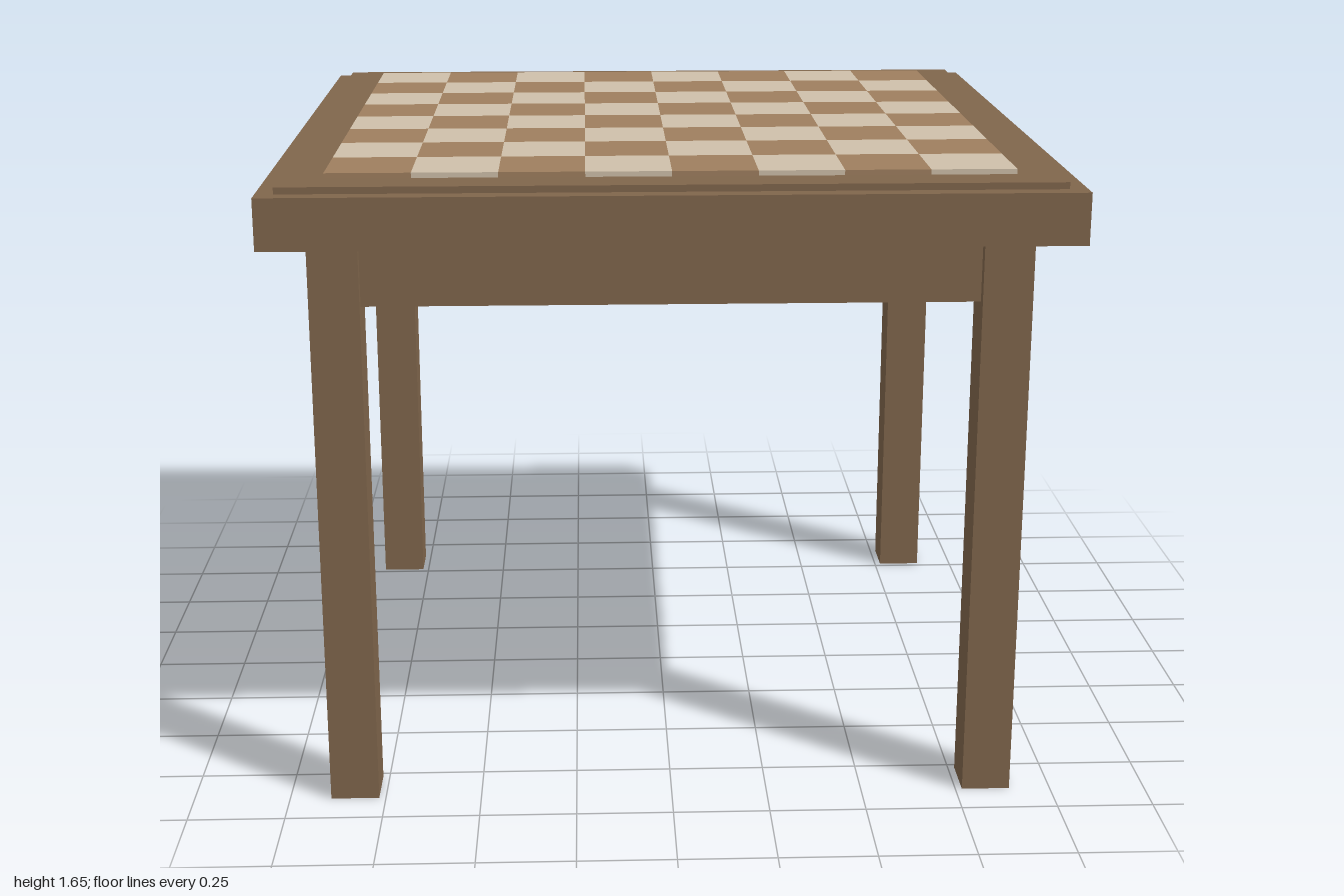
import * as THREE from 'three';

const wood = new THREE.MeshStandardMaterial({ color: 0x80664c });
const darkWood = new THREE.MeshStandardMaterial({ color: 0x9f7f5f });
const lightWood = new THREE.MeshStandardMaterial({ color: 0xcfc0aa });

// Box standing between two heights, centred on (x, z)
function slab(name, width, depth, bottom, top, x = 0, z = 0, material = wood) {
  const mesh = new THREE.Mesh(new THREE.BoxGeometry(width, top - bottom, depth), material);
  mesh.name = name;
  mesh.position.set(x, (bottom + top) / 2, z);
  return mesh;
}

export function createModel() {
  const table = new THREE.Group();
  table.name = 'chessTable';

  // Table top, raised border and the solid apron below
  table.add(slab('tableTop', 2, 2, 1.49, 1.62));
  table.add(slab('boardBorder', 1.91, 1.91, 1.62, 1.637));
  table.add(slab('apron', 1.73, 1.73, 1.32, 1.49));

  // Four square legs
  for (const x of [-0.83, 0.83]) {
    for (const z of [-0.83, 0.83]) {
      const name = (z > 0 ? 'front' : 'back') + (x > 0 ? 'Left' : 'Right') + 'Leg';
      table.add(slab(name, 0.125, 0.125, 0, 1.49, x, z));
    }
  }

  // Eight by eight squares, dark in the front right corner
  const squares = new THREE.Group();
  squares.name = 'squares';
  const size = 1.694 / 8;
  for (let row = 0; row < 8; row++) {
    for (let column = 0; column < 8; column++) {
      const isDark = (row + column) % 2 === 0;
      squares.add(slab(
        isDark ? 'darkSquare' : 'lightSquare', size, size, 1.637, 1.65,
        (column - 3.5) * size, (3.5 - row) * size, isDark ? darkWood : lightWood
      ));
    }
  }
  table.add(squares);
  return table;
}
